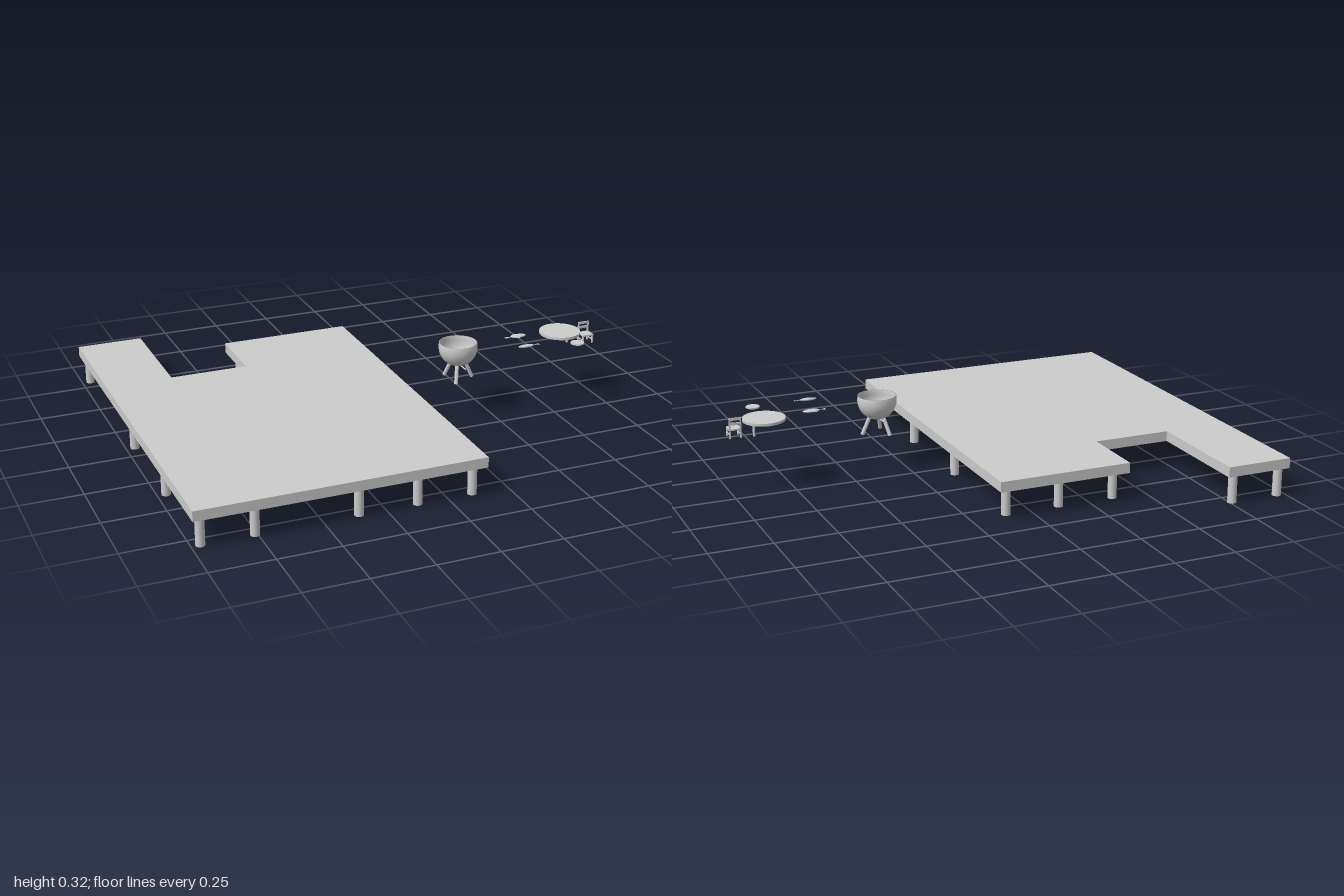
import * as THREE from 'three';

const mat = new THREE.MeshStandardMaterial({ color: 0xcccccc });
const thin = new THREE.MeshStandardMaterial({ color: 0xcccccc, side: THREE.DoubleSide });

function add(parent, name, geometry, x = 0, y = 0, z = 0, material = mat) {
  const mesh = new THREE.Mesh(geometry, material);
  mesh.name = name;
  mesh.position.set(x, y, z);
  parent.add(mesh);
  return mesh;
}

function group(parent, name, x, y, z) {
  const g = new THREE.Group();
  g.name = name;
  g.position.set(x, y, z);
  parent.add(g);
  return g;
}

// Straight round bar between two points
function bar(parent, name, a, b, radius) {
  const from = new THREE.Vector3(...a), to = new THREE.Vector3(...b);
  const dir = to.clone().sub(from);
  const mesh = add(parent, name, new THREE.CylinderGeometry(radius, radius, dir.length(), 12));
  mesh.position.copy(from).add(to).multiplyScalar(0.5);
  mesh.quaternion.setFromUnitVectors(new THREE.Vector3(0, 1, 0), dir.normalize());
  return mesh;
}

function buildDock(root) {
  const dock = group(root, 'dock', 0, 0, 0);
  // Deck outline in (x, -z), with the notch at the back
  const outline = [[-1, -0.837], [0.15, -0.837], [0.15, 0.636], [-0.4, 0.636],
    [-0.4, 0.355], [-0.725, 0.355], [-0.725, 0.837], [-1, 0.837]];
  const shape = new THREE.Shape(outline.map(([x, y]) => new THREE.Vector2(x, y)));
  const deck = new THREE.ExtrudeGeometry(shape, { depth: 0.042, bevelEnabled: false });
  deck.rotateX(-Math.PI / 2);
  add(dock, 'deck', deck, 0, 0.116, 0);

  // Posts along the edges
  const posts = [
    ...[-0.965, -0.76, -0.357, -0.122, 0.102].map((x) => [x, 0.8]),
    ...[0.368, -0.077].flatMap((z) => [[-0.965, z], [0.102, z]]),
    ...[-0.357, -0.122, 0.102].map((x) => [x, -0.575]),
    [-0.965, -0.808], [-0.76, -0.808],
  ];
  const post = new THREE.CylinderGeometry(0.018, 0.018, 0.118, 20);
  for (const [x, z] of posts) add(dock, 'post', post, x, 0.059, z);
}

function buildFireBowl(root) {
  const g = group(root, 'fireBowl', 0.367, 0, 0.104);
  // Round shell with an open top and a small wall thickness
  const profile = [];
  for (let i = 0; i <= 12; i++) {
    const a = (i / 12) * Math.PI / 2;
    profile.push(new THREE.Vector2(0.08 * Math.sin(a), 0.298 - 0.08 * Math.cos(a)));
  }
  profile.push(new THREE.Vector2(0.079, 0.318), new THREE.Vector2(0.075, 0.318));
  for (let i = 12; i >= 0; i--) {
    const a = (i / 12) * Math.PI / 2;
    profile.push(new THREE.Vector2(0.075 * Math.sin(a), 0.298 - 0.075 * Math.cos(a)));
  }
  add(g, 'bowl', new THREE.LatheGeometry(profile, 40), 0, 0, 0, thin);

  // Splayed tripod
  for (let i = 0; i < 3; i++) {
    const a = (i * Math.PI * 2) / 3;
    const c = Math.cos(a), s = Math.sin(a);
    bar(g, 'bowlLeg', [0.03 * c, 0.235, 0.03 * s], [0.066 * c, 0.158, 0.066 * s], 0.008);
  }
  bar(g, 'crossBar', [0, 0.226, -0.078], [0, 0.226, 0.078], 0.003);
}

// Fish lying flat, head towards +x before turning
function buildFish(root, x, y, z, width, turn, finned) {
  const g = group(root, 'fish', x, y, z);
  g.rotation.y = turn;
  const body = new THREE.SphereGeometry(1, 20, 12);
  body.scale(0.036, 0.006, width);
  add(g, 'fishBody', body, 0.015, 0, 0);

  const fin = (name, points) => {
    const geometry = new THREE.ShapeGeometry(new THREE.Shape(points.map(([a, b]) => new THREE.Vector2(a, b))));
    geometry.rotateX(-Math.PI / 2);
    add(g, name, geometry, 0, 0, 0, thin);
  };
  fin('tailFin', [[-0.014, 0], [-0.05, -width * 0.75], [-0.042, 0], [-0.05, width * 0.75]]);
  if (finned) {
    for (const s of [-1, 1]) {
      fin('sideFin', [[0.028, s * 0.013], [0.01, s * 0.024], [-0.008, s * 0.019], [-0.004, s * 0.01]]);
    }
  }
}

function buildTable(root) {
  const g = group(root, 'table', 0.85, 0, 0.085);
  add(g, 'tableTop', new THREE.CylinderGeometry(0.086, 0.086, 0.011, 40), 0, 0.286, 0);
  add(g, 'tableLeg', new THREE.CylinderGeometry(0.005, 0.005, 0.06, 12), 0.048, 0.255, -0.02);
  add(root, 'plate', new THREE.CylinderGeometry(0.028, 0.028, 0.005, 32), 0.85, 0.291, 0.237);
}

function buildChair(root) {
  const g = group(root, 'chair', 0.972, 0.225, 0.091);
  add(g, 'seat', new THREE.BoxGeometry(0.05, 0.006, 0.048), 0, 0.036, 0);
  for (const s of [-1, 1]) {
    add(g, 'frontLeg', new THREE.BoxGeometry(0.006, 0.034, 0.006), s * 0.022, 0.017, 0.021);
    add(g, 'backPost', new THREE.BoxGeometry(0.006, 0.084, 0.006), s * 0.022, 0.042, -0.021);
    add(g, 'sideRung', new THREE.BoxGeometry(0.004, 0.004, 0.042), s * 0.022, 0.015, 0);
  }
  for (const y of [0.06, 0.079]) {
    add(g, 'backSlat', new THREE.BoxGeometry(0.044, 0.01, 0.004), 0, y, -0.021);
  }
}

export function createModel() {
  const root = new THREE.Group();
  root.name = 'dockScene';
  buildDock(root);
  buildFireBowl(root);
  buildFish(root, 0.64, 0.295, 0.081, 0.016, 0, true);
  buildFish(root, 0.64, 0.302, 0.212, 0.011, Math.PI, false);
  buildTable(root);
  buildChair(root);
  return root;
}
